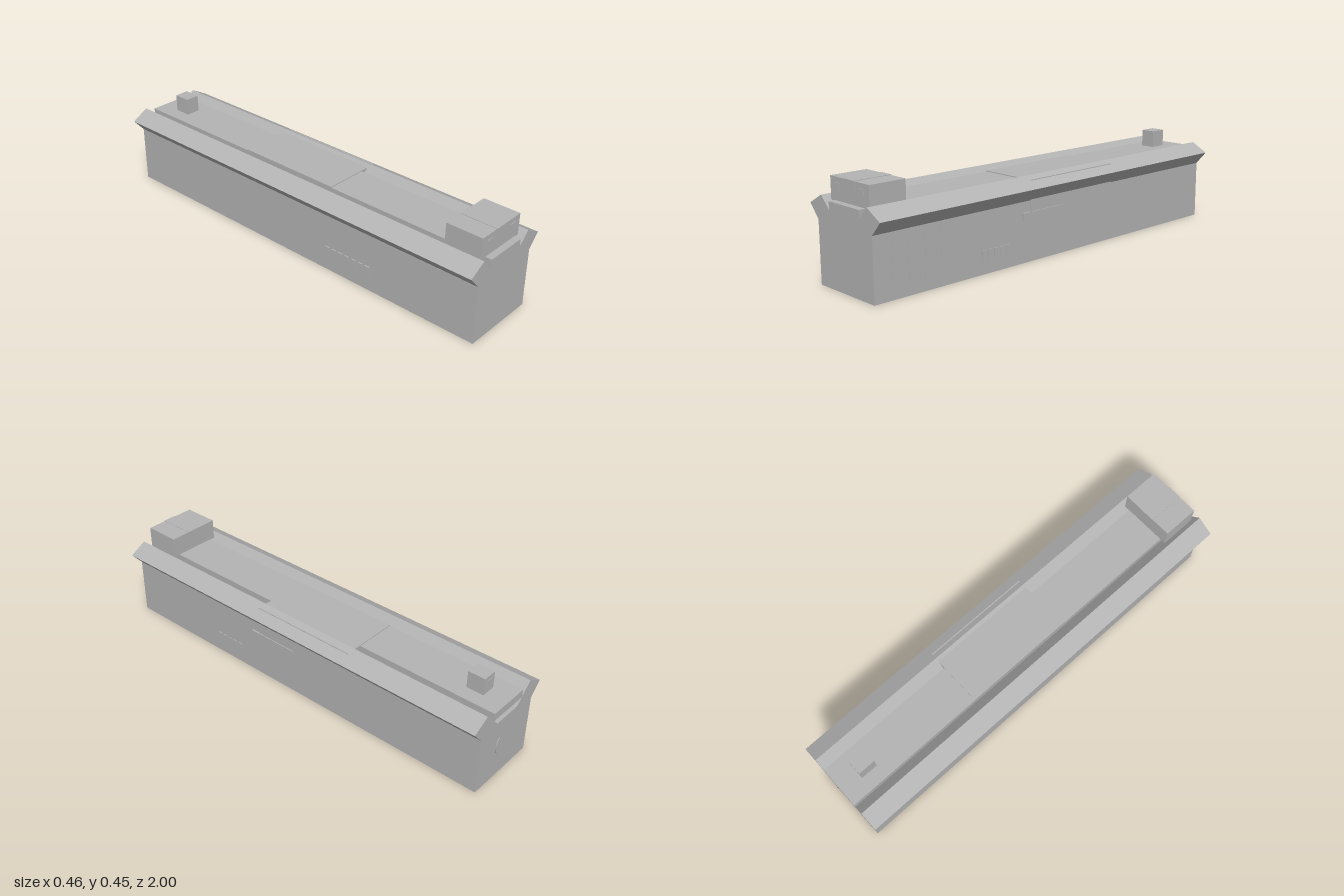
import * as THREE from 'three';

export function createModel() {
  const model = new THREE.Group();
  const grey = new THREE.MeshStandardMaterial({ color: 0xb4b4b4 });
  grey.name = 'plain grey';

  const add = (name, geometry) => {
    const mesh = new THREE.Mesh(geometry, grey);
    mesh.name = name;
    model.add(mesh);
    return mesh;
  };
  // Box given by its minimum and maximum on each axis
  const box = (name, x0, x1, y0, y1, z0, z1) =>
    add(name, new THREE.BoxGeometry(x1 - x0, y1 - y0, z1 - z0))
      .position.set((x0 + x1) / 2, (y0 + y1) / 2, (z0 + z1) / 2);

  // Mirrored housing section with flared rails, extruded along z
  const housing = (name, inner, z0, z1) => {
    const half = [[0.178, 0], [0.178, 0.27], [0.231, 0.329], [0.151, 0.373], ...inner];
    const outline = [...half, ...half.map(([x, y]) => [-x, y]).reverse()];
    const shape = new THREE.Shape(outline.map(([x, y]) => new THREE.Vector2(x, y)));
    add(name, new THREE.ExtrudeGeometry(shape, { depth: z1 - z0, bevelEnabled: false }))
      .position.z = z0;
  };
  housing('housing', [[0.1, 0.32]], -0.9, 1);
  housing('rearHousing', [[0.1, 0.32], [0.07, 0.289]], -0.997, -0.9);

  // Top slab, and the raised port cover that passes through the rail
  box('topSlab', -0.1, 0.1, 0.318, 0.355, -0.997, 1);
  box('portCover', -0.1, 0.182, 0.217, 0.359, -0.33, 0.185);
  box('sideLatch', 0.17, 0.186, 0.187, 0.222, -0.02, 0.23);

  // Front sight with a thin centre band and two front markers
  box('frontSight', -0.127, 0.127, 0.352, 0.449, 0.8, 0.97);
  box('frontSightBand', -0.034, 0.034, 0.4, 0.451, 0.798, 0.972);
  for (const s of [-1, 1])
    box('sightMarker', s * 0.078 - 0.016, s * 0.078 + 0.016, 0.403, 0.427, 0.965, 0.973);

  // Rear sight with a small marker
  box('rearSight', -0.034, 0.034, 0.35, 0.434, -0.9, -0.82);
  box('rearSightMarker', -0.018, 0.018, 0.408, 0.416, -0.902, -0.898);

  // Thin upright grip strips near the front on both sides
  for (const s of [-1, 1])
    for (const z of [0.9, 0.82, 0.74, 0.66]) {
      const x = s * 0.178;
      box('gripStrip', x - 0.001, x + 0.001, 0.043, 0.268, z - 0.015, z + 0.015);
    }

  // Rows of small vent bars, different on each side
  for (let i = 0; i < 5; i++) {
    const z = 0.317 + i * 0.033;
    box('ventBar', 0.175, 0.182, 0.063, 0.103, z - 0.011, z + 0.011);
  }
  for (let i = 0; i < 7; i++) {
    const z = 0.238 + i * 0.037;
    box('ventBar', -0.184, -0.175, 0.063, 0.118, z - 0.012, z + 0.012);
  }

  // Rear plate made of two opposed fans
  for (const start of [-0.85, Math.PI - 0.85]) {
    const fan = new THREE.CylinderGeometry(0.06, 0.06, 0.005, 16, 1, false, Math.PI / 2 + start, 1.7);
    const mesh = add('rearPlate', fan);
    mesh.rotation.x = Math.PI / 2;
    mesh.position.set(0, 0.155, -0.9975);
  }
  return model;
}
